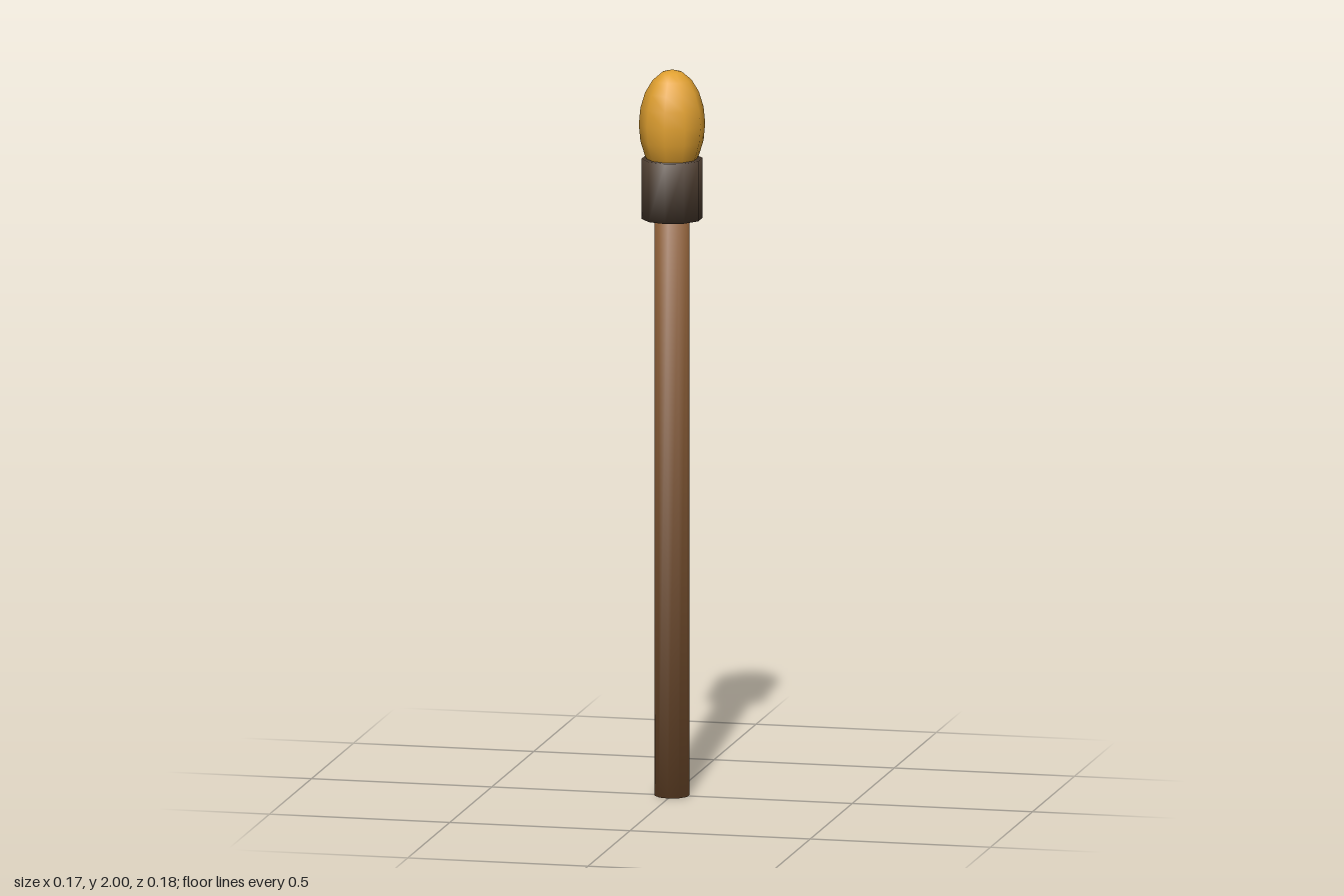
import * as THREE from 'three';

const SIDES = 10;
const material = (name, color) => {
  const m = new THREE.MeshStandardMaterial({ color });
  m.name = name;
  return m;
};

// Capped cylinder whose normals blend softly across the rims
function softCylinder(radius, bottom, top) {
  const g = new THREE.CylinderGeometry(radius, radius, top - bottom, SIDES);
  const p = g.attributes.position, n = g.attributes.normal;
  const v = new THREE.Vector3();
  for (let i = 0; i < p.count; i++) {
    const x = p.getX(i) / radius, z = p.getZ(i) / radius;
    v.set(x, Math.sign(p.getY(i)) * 0.8, z).normalize();
    n.setXYZ(i, v.x, v.y, v.z);
  }
  return g.translate(0, (bottom + top) / 2, 0);
}

export function createModel() {
  const wood = material('wood brown', 0x8b5e38);
  const wrap = material('dark wrap', 0x4f3f32);
  const fire = material('flame amber', 0xe0a030);

  const group = new THREE.Group();
  group.name = 'torch';
  const add = (name, geometry, mat) => {
    const mesh = new THREE.Mesh(geometry, mat);
    mesh.name = name;
    group.add(mesh);
  };

  // Long handle and the wider collar around its top
  add('handle', softCylinder(0.047, 0, 1.6), wood);
  add('collar', softCylinder(0.083, 1.59, 1.755), wrap);

  // Egg-shaped flame, seated in the collar, with a corner facing the front
  const flame = new THREE.SphereGeometry(1, SIDES, 10);
  flame.rotateY(Math.PI / 2).scale(0.09, 0.15, 0.09).translate(0, 1.85, 0);
  add('flame', flame, fire);

  return group;
}
